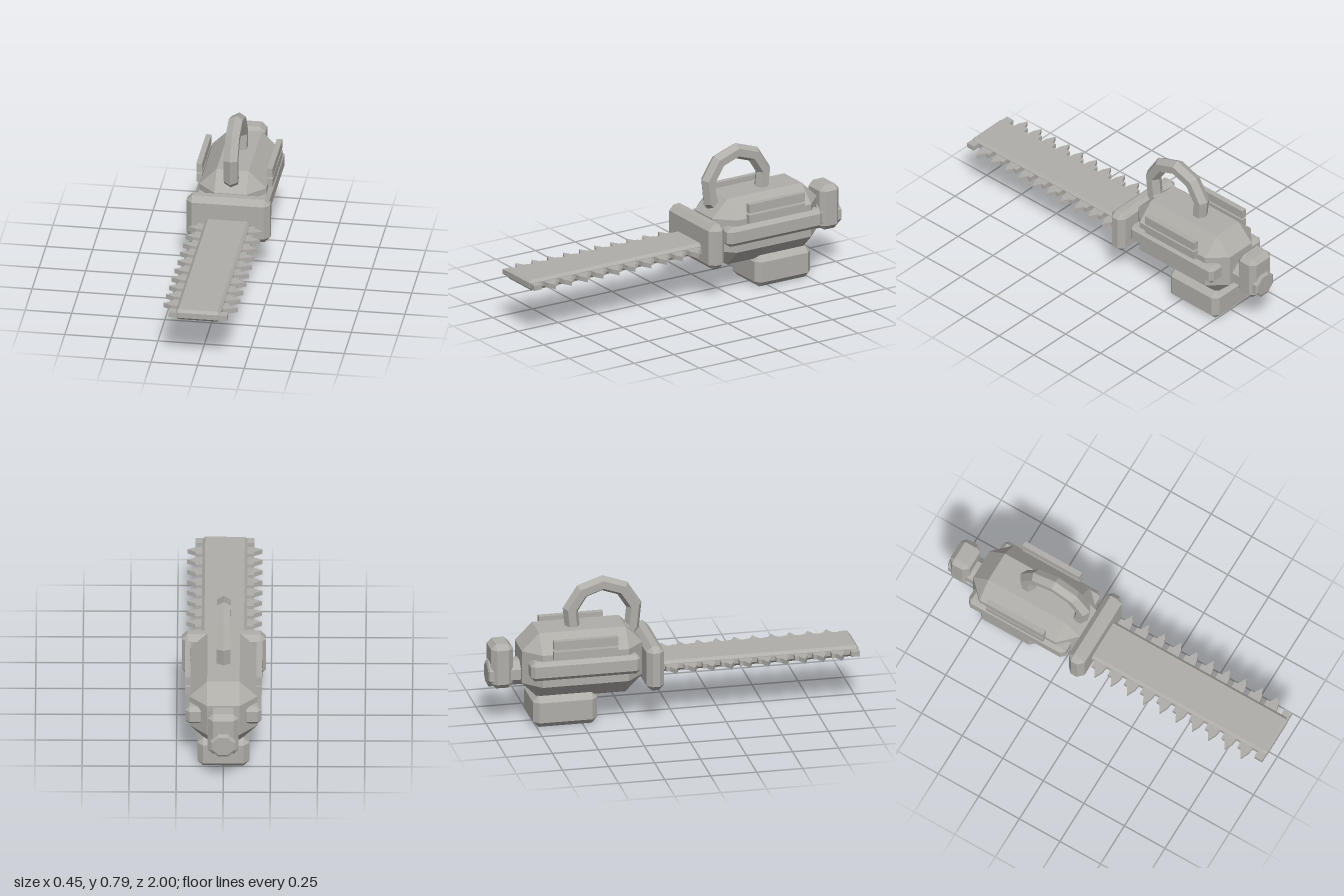
import * as THREE from 'three';
import { ConvexGeometry } from 'three/addons/geometries/ConvexGeometry.js';

const grey = new THREE.MeshStandardMaterial({ color: 0xb0aea9 });
grey.name = 'grey';

// Box given by its x, y and z ranges, with all edges cut back by c
function chamferBox([x0, x1], [y0, y1], [z0, z1], c) {
  const centre = new THREE.Vector3(x0 + x1, y0 + y1, z0 + z1).multiplyScalar(0.5);
  const half = [(x1 - x0) / 2, (y1 - y0) / 2, (z1 - z0) / 2];
  const points = [];
  for (const sx of [-1, 1]) for (const sy of [-1, 1]) for (const sz of [-1, 1]) {
    for (let axis = 0; axis < 3; axis++) {
      const h = half.map((v, i) => (i === axis ? v : v - c));
      points.push(new THREE.Vector3(sx * h[0], sy * h[1], sz * h[2]).add(centre));
    }
  }
  return new ConvexGeometry(points);
}

function plainBox([x0, x1], [y0, y1], [z0, z1]) {
  return new THREE.BoxGeometry(x1 - x0, y1 - y0, z1 - z0)
    .translate((x0 + x1) / 2, (y0 + y1) / 2, (z0 + z1) / 2);
}

// Faceted look
function facet(geometry) {
  const flat = geometry.index ? geometry.toNonIndexed() : geometry;
  flat.computeVertexNormals();
  return flat;
}

export function createModel() {
  const model = new THREE.Group();
  model.name = 'chainsaw';
  const add = (name, geometry) => {
    const mesh = new THREE.Mesh(geometry, grey);
    mesh.name = name;
    model.add(mesh);
    return mesh;
  };

  // Engine body, hand guard and fuel tank
  add('engineBody', chamferBox([-0.18, 0.18], [0.155, 0.525], [-0.825, -0.168], 0.094));
  add('handGuard', chamferBox([-0.224, 0.224], [0.19, 0.44], [-0.172, -0.075], 0.03));
  add('fuelTank', chamferBox([-0.138, 0.138], [0, 0.175], [-0.77, -0.42], 0.031));

  // Guide bar
  add('guideBar', chamferBox([-0.12, 0.12], [0.26, 0.32], [-0.12, 1], 0.015));

  // Chain teeth: a link block with a pointed cutter
  const tooth = new THREE.Shape([
    [0.1, -0.045], [0.155, -0.045], [0.155, -0.025], [0.2, 0], [0.155, 0.022], [0.1, 0.03],
  ].map(([x, z]) => new THREE.Vector2(x, -z)));
  const toothGeometry = new THREE.ExtrudeGeometry(tooth, { depth: 0.026, bevelEnabled: false })
    .rotateX(-Math.PI / 2).translate(0, 0.276, 0);
  for (let i = 0; i < 10; i++) {
    const z = -0.01 + i * 0.1;
    add('leftTooth', toothGeometry).position.z = z;
    const right = add('rightTooth', toothGeometry);
    right.position.z = z;
    right.scale.x = -1;
  }
  add('endLink', plainBox([-0.157, 0.157], [0.275, 0.303], [0.95, 0.998]));

  // Side rails and cooling slats
  for (const s of [-1, 1]) {
    const side = s > 0 ? 'left' : 'right';
    const span = (a, b) => (s > 0 ? [a, b] : [-b, -a]);
    add(side + 'Rail', chamferBox(span(0.1, 0.202), [0.29, 0.397], [-0.797, -0.2], 0.022));
    add(side + 'LowerSlat', plainBox(span(0.175, 0.205), [0.408, 0.455], [-0.675, -0.325]));
    add(side + 'UpperSlat', plainBox(span(0.175, 0.205), [0.466, 0.515], [-0.675, -0.325]));
  }

  // Top handle, a hexagonal loop running into the body
  const step = THREE.MathUtils.degToRad(38.3);
  const handle = new THREE.TorusGeometry(0.177, 0.043, 6, 8, 8 * step)
    .rotateZ(Math.PI / 2 - 4 * step)
    .rotateY(-Math.PI / 2)
    .translate(0, 0.573, -0.37);
  add('topHandle', facet(handle));

  // Rear housing with the starter shaft passing through it
  add('rearHousing', chamferBox([-0.082, 0.082], [0.217, 0.467], [-0.985, -0.865], 0.028));
  const shaft = new THREE.CylinderGeometry(0.074, 0.074, 0.215, 8)
    .rotateY(Math.PI / 8).rotateX(Math.PI / 2).translate(0, 0.29, -0.885);
  add('starterShaft', facet(shaft));
  const cap = new THREE.CylinderGeometry(0.074, 0.06, 0.008, 8)
    .rotateY(Math.PI / 8).rotateX(Math.PI / 2).translate(0, 0.29, -0.996);
  add('starterCap', facet(cap));

  return model;
}
